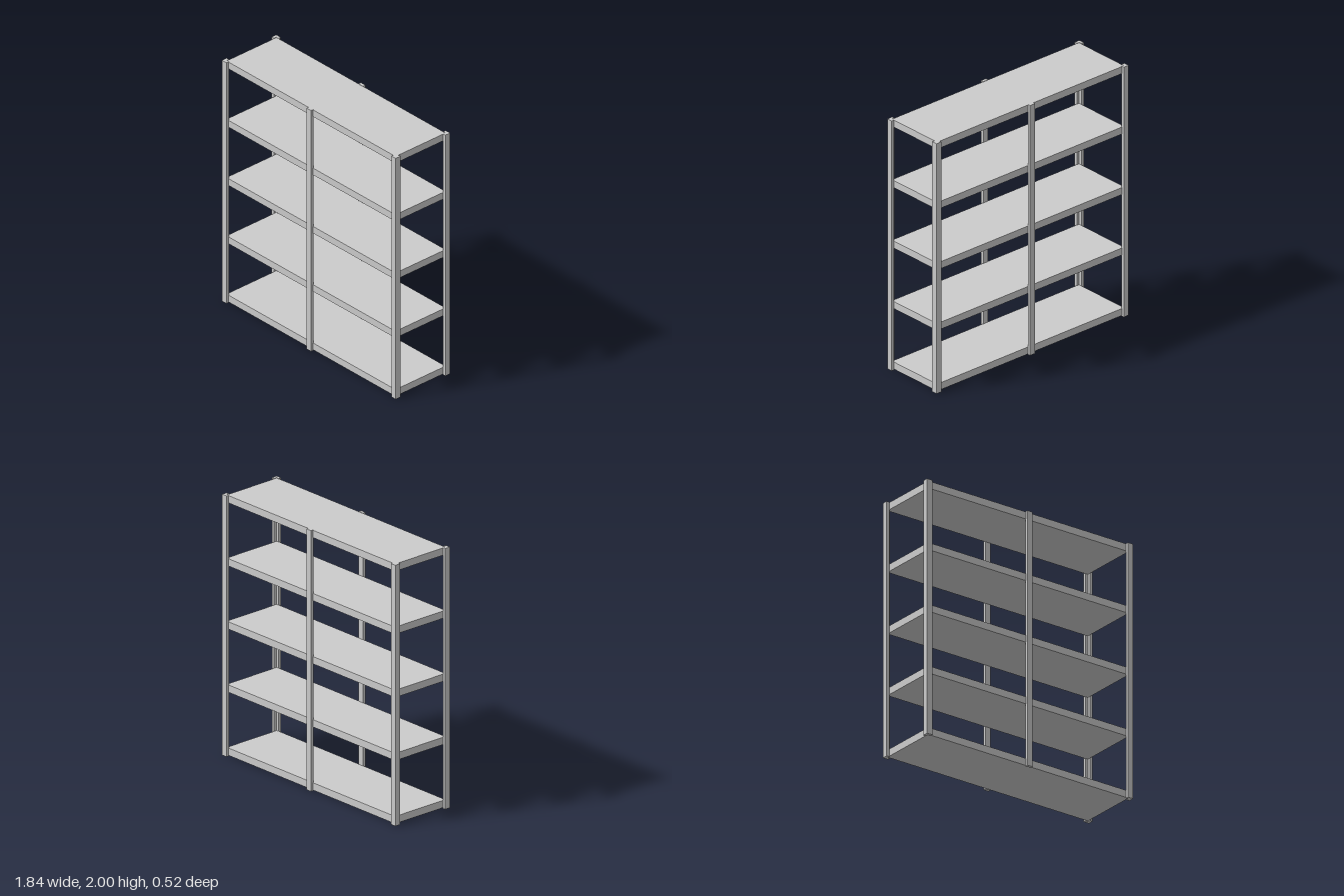
import * as THREE from 'three';

const material = new THREE.MeshStandardMaterial({ color: 0xcccccc, flatShading: true });

const HEIGHT = 2;
const X = 0.918, Z = 0.262;          // outer faces of the posts
const LEG = 0.046, WALL = 0.024;     // angle-iron leg width and thickness
const SHELF = { x: 0.893, z: 0.241, thick: 0.056, top: 0.061, step: 0.484, count: 5 };

function add(parent, name, geometry, x = 0, y = 0, z = 0) {
  const mesh = new THREE.Mesh(geometry, material);
  mesh.name = name;
  mesh.position.set(x, y, z);
  parent.add(mesh);
  return mesh;
}

// L-shaped upright with its outer corner at the origin, legs toward -x and -z
function anglePostGeometry() {
  const shape = new THREE.Shape([
    [0, 0], [0, LEG], [-WALL, LEG], [-WALL, WALL], [-LEG, WALL], [-LEG, 0],
  ].map(([x, y]) => new THREE.Vector2(x, y)));
  const geometry = new THREE.ExtrudeGeometry(shape, { depth: HEIGHT, bevelEnabled: false });
  return geometry.rotateX(-Math.PI / 2);
}

export function createModel() {
  const group = new THREE.Group();
  group.name = 'shelvingUnit';

  // Shelves
  const board = new THREE.BoxGeometry(SHELF.x * 2, SHELF.thick, SHELF.z * 2);
  for (let i = 0; i < SHELF.count; i++) {
    add(group, `shelf${i + 1}`, board, 0, SHELF.top + i * SHELF.step - SHELF.thick / 2, 0);
  }

  // Corner posts, mirrored to wrap each shelf corner
  const corner = anglePostGeometry();
  const strip = new THREE.BoxGeometry(LEG, HEIGHT, WALL);
  for (const [depthName, sz] of [['front', 1], ['back', -1]]) {
    for (const [sideName, sx] of [['Left', 1], ['Right', -1]]) {
      add(group, `${depthName}${sideName}Post`, corner, sx * X, 0, sz * Z).scale.set(sx, 1, sz);
    }
    // Flat centre post
    add(group, `${depthName}CentrePost`, strip, 0, HEIGHT / 2, sz * (Z - WALL / 2));
  }

  return group;
}
